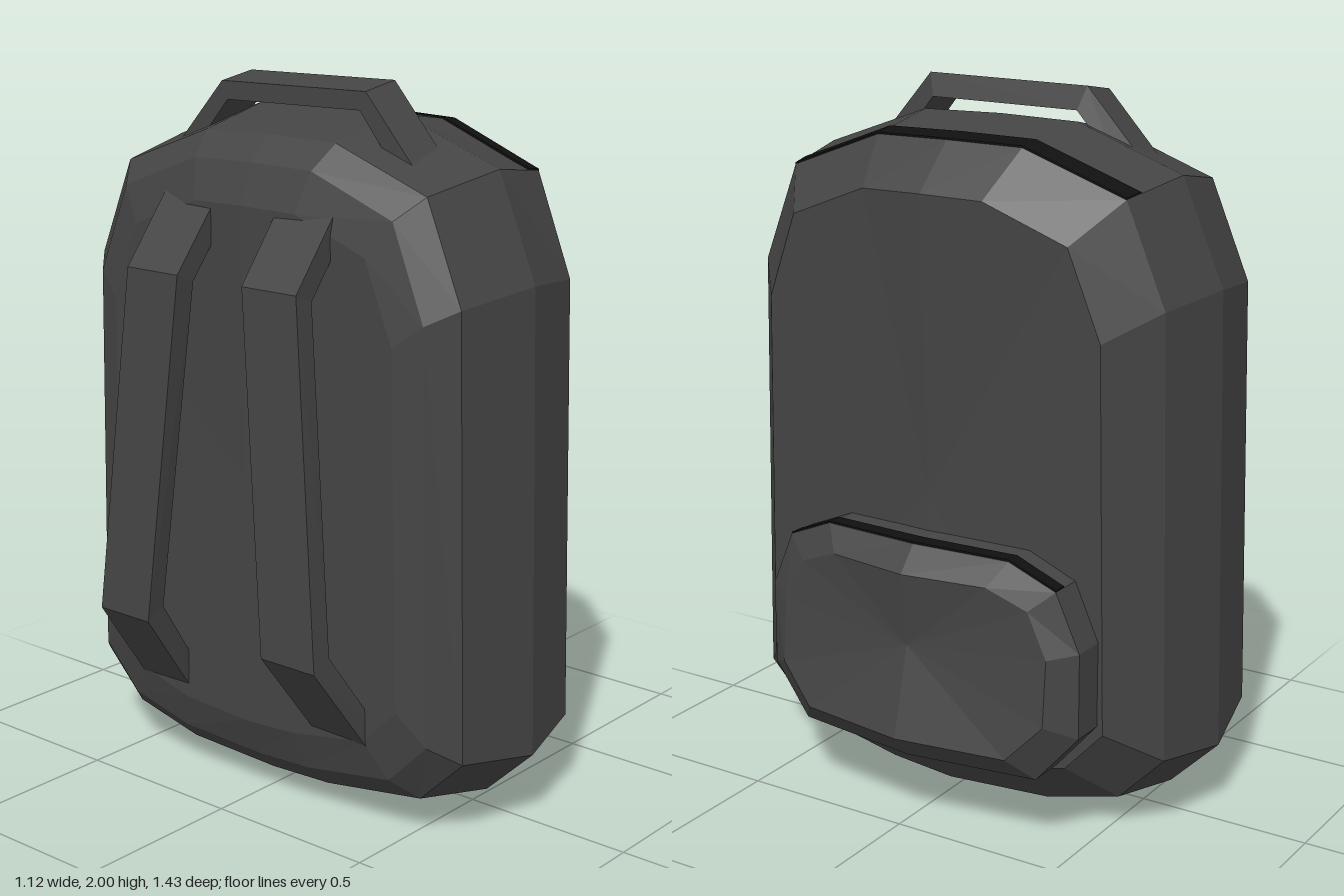
import * as THREE from 'three';

const V = (x, y, z) => new THREE.Vector3(x, y, z);
const fabric = new THREE.MeshStandardMaterial({ color: 0x444444, flatShading: true, side: THREE.DoubleSide });
const zipMat = new THREE.MeshStandardMaterial({ color: 0x101010, flatShading: true, side: THREE.DoubleSide });

// Closed solid through rings of points, capped with fans, faces turned outward.
function loft(name, rings, material = fabric) {
  const tris = [];
  const n = rings[0].length;
  const middle = (r) => r.reduce((s, p) => s.add(p), V(0, 0, 0)).divideScalar(n);
  const first = rings[0], last = rings[rings.length - 1];
  const cA = middle(first), cB = middle(last);
  for (let i = 0; i < n; i++) {
    const j = (i + 1) % n;
    for (let k = 0; k < rings.length - 1; k++) {
      const a = rings[k], b = rings[k + 1];
      tris.push([a[i], a[j], b[j]], [a[i], b[j], b[i]]);
    }
    tris.push([cA, first[j], first[i]], [cB, last[i], last[j]]);
  }
  let volume = 0;
  for (const [a, b, c] of tris) volume += a.dot(b.clone().cross(c));
  if (volume < 0) tris.forEach((t) => t.reverse());
  const geo = new THREE.BufferGeometry().setFromPoints(tris.flat());
  geo.computeVertexNormals();
  const mesh = new THREE.Mesh(geo, material);
  mesh.name = name;
  return mesh;
}

// Outline scaled about a centre; x is given by a rule of (z offset, y).
const ring = (outline, cy, cz, sz, sy, xRule) => outline.map(([z, y]) => {
  const dz = z * sz, py = cy + (y - cy) * sy;
  return V(xRule(Math.abs(dz), py), py, cz + dz);
});

// Thin dark strip over the top of a shell, between two rings.
function zipStrip(name, a, b, t0, t1, ids) {
  const rings = ids.map((i) => {
    const p = a[i].clone().lerp(b[i], t0), q = a[i].clone().lerp(b[i], t1);
    return [[p, -0.01], [q, -0.01], [q, 0.005], [p, 0.005]].map(([v, d]) => V(v.x, v.y + d, v.z));
  });
  return loft(name, rings, zipMat);
}

// Bag outline as [z, y]
const bagOutline = [
  [-0.715, 0.21], [-0.685, 1.5], [-0.56, 1.79], [-0.24, 1.905], [0, 1.91], [0.25, 1.905],
  [0.57, 1.79], [0.69, 1.5], [0.72, 0.21], [0.57, 0.065], [0.22, 0.01], [0, 0], [-0.33, 0.01], [-0.57, 0.065],
];

// Pocket outline as [z offset, y]
const pocketOutline = [
  [-0.5, 0.36], [-0.5, 0.6], [-0.43, 0.76], [-0.29, 0.82], [0, 0.82], [0.29, 0.82],
  [0.43, 0.76], [0.5, 0.6], [0.5, 0.36], [0.38, 0.22], [0, 0.22], [-0.38, 0.22],
];

export function createModel() {
  const model = new THREE.Group();
  model.name = 'backpack';

  // Main bag, lofted from back panel to bulged front
  const bulge = (x, b) => (dz) => x + b * Math.max(0, 1 - dz / 0.57);
  const bag = [
    [0.72, 0.76, bulge(-0.375, -0.015)],
    [0.835, 0.875, bulge(-0.35, 0)],
    [0.93, 0.945, bulge(-0.28, 0)],
    [1, 1, bulge(-0.03, 0)],
    [0.93, 0.96, bulge(0.2, 0.04)],
    [0.765, 0.83, bulge(0.33, 0.04)],
  ].map(([sz, sy, rule]) => ring(bagOutline, 0.955, 0, sz, sy, rule));
  model.add(loft('bag', bag));
  model.add(zipStrip('bagZip', bag[3], bag[4], 0.75, 1, [2, 3, 4, 5, 6]));

  // Front pocket
  const centre = (dz) => Math.max(0, 1 - dz / 0.5);
  const pocket = [
    [1, 1, () => 0.28],
    [1, 1, (dz, y) => 0.43 + centre(dz) * (0.03 + 0.04 * (0.82 - y) / 0.6)],
    [0.85, 0.77, (dz, y) => 0.46 + 0.06 * Math.max(0, 1 - dz / 0.42) + 0.04 * (0.75 - y) / 0.46],
  ].map(([sz, sy, rule]) => ring(pocketOutline, 0.52, -0.03, sz, sy, rule));
  model.add(loft('pocket', pocket));
  model.add(zipStrip('pocketZip', pocket[0], pocket[1], 0.73, 0.99, [2, 3, 4, 5, 6]));

  // Shoulder straps: outer x,y, inner x,y, near z, far z
  const strapPath = [
    [-0.3, 1.77, -0.3, 1.67, 0.11, 0.3],
    [-0.515, 1.5, -0.455, 1.475, 0.115, 0.3],
    [-0.56, 0.52, -0.5, 0.55, 0.21, 0.395],
    [-0.32, 0.19, -0.32, 0.29, 0.24, 0.425],
  ];
  for (const s of [1, -1]) {
    const rings = strapPath.map(([ox, oy, ix, iy, z0, z1]) =>
      [V(ox, oy, s * z0), V(ox, oy, s * z1), V(ix, iy, s * z1), V(ix, iy, s * z0)]);
    model.add(loft(s > 0 ? 'leftStrap' : 'rightStrap', rings));
  }

  // Carry handle: z, top y, underside z, underside y
  const handlePath = [
    [0.44, 1.79, 0.36, 1.79],
    [0.265, 1.99, 0.245, 1.93],
    [-0.24, 1.985, -0.22, 1.925],
    [-0.42, 1.79, -0.34, 1.79],
  ];
  model.add(loft('handle', handlePath.map(([z, y, uz, uy]) =>
    [V(-0.2, y - 0.01, z), V(-0.08, y + 0.01, z), V(-0.06, uy + 0.005, uz), V(-0.2, uy, uz)])));

  return model;
}
